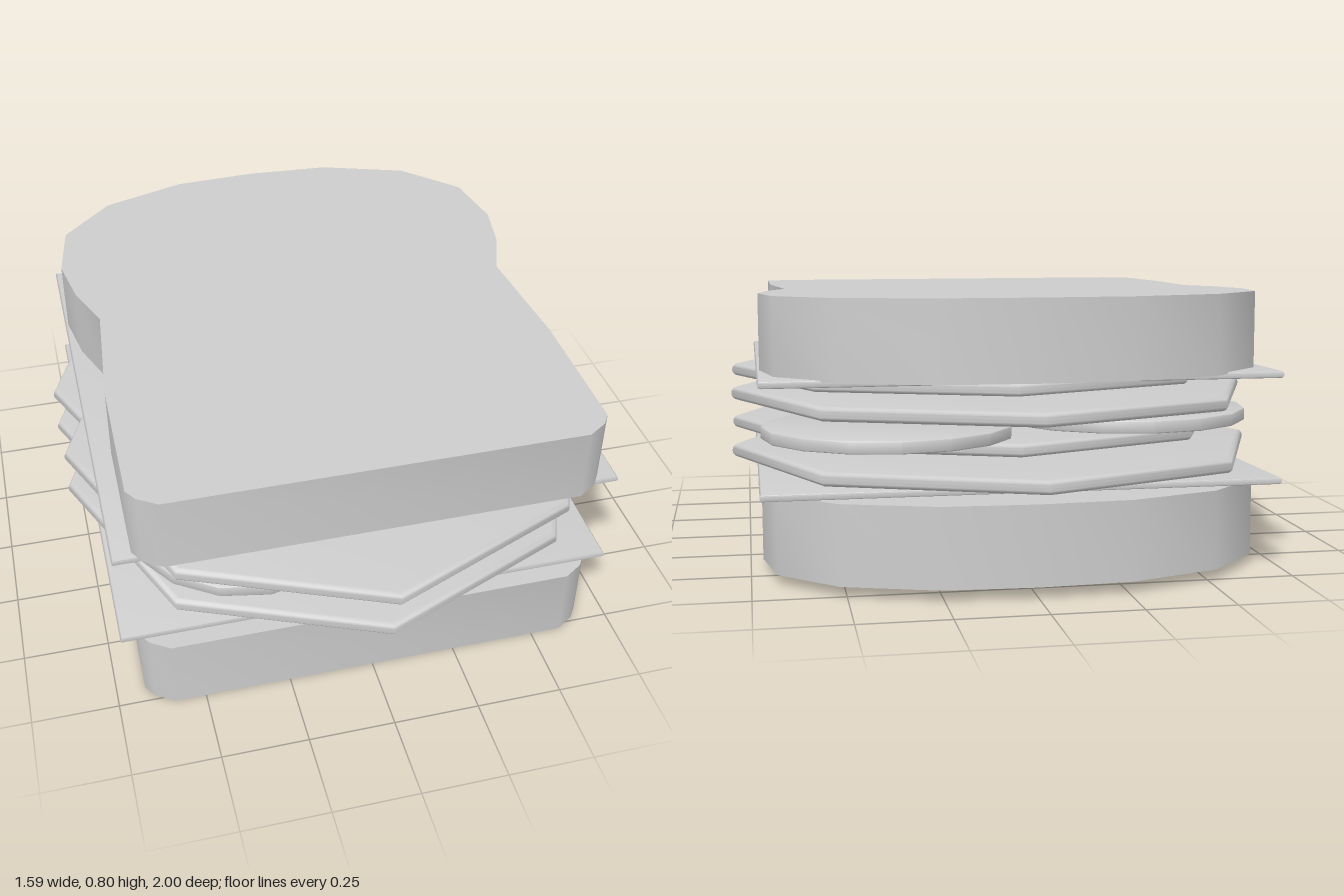
import * as THREE from 'three';
import { toCreasedNormals } from 'three/addons/utils/BufferGeometryUtils.js';

const TILT = 0.02; // the whole stack rises slightly towards the back

// Flat slab from an outline of [x, z] points, centred on y = 0, with an optional rounded rim
function slab(outline, thickness, rim = 0, crease = 1) {
  const shape = new THREE.Shape(outline.map(([x, z]) => new THREE.Vector2(x, -z)));
  const geometry = new THREE.ExtrudeGeometry(shape, {
    depth: thickness - 2 * rim,
    bevelEnabled: rim > 0,
    bevelThickness: rim,
    bevelSize: rim,
    bevelOffset: -rim,
    bevelSegments: 4,
  });
  geometry.translate(0, 0, rim - thickness / 2);
  geometry.rotateX(-Math.PI / 2);
  return toCreasedNormals(geometry, crease);
}

function regularOutline(sides, radius) {
  return Array.from({ length: sides }, (_, i) => {
    const a = (i / sides) * Math.PI * 2;
    return [Math.sin(a) * radius, Math.cos(a) * radius];
  });
}

export function createModel() {
  const model = new THREE.Group();
  model.name = 'sandwich';
  const stack = new THREE.Group();
  stack.name = 'stack';
  stack.rotation.x = TILT;
  model.add(stack);

  const material = new THREE.MeshStandardMaterial({ color: 0xcccccc });
  const place = (name, geometry, x, y, z) => {
    const mesh = new THREE.Mesh(geometry, material);
    mesh.name = name;
    mesh.position.set(x, y, z);
    stack.add(mesh);
  };

  // Bread: half an outline from front to back, mirrored
  const half = [
    [0.59, 0.77], [0.645, 0.735], [0.668, 0.7], [0.665, 0.28], [0.632, -0.09],
    [0.688, -0.24], [0.715, -0.4], [0.68, -0.6], [0.52, -0.76], [0.26, -0.848],
  ];
  const breadOutline = [...half, [0, -0.863], ...half.map(([x, z]) => [-x, z]).reverse()];
  const bread = slab(breadOutline, 0.223);
  place('bottomBread', bread, 0, 0.127, 0);
  place('topBread', bread, 0, 0.668, 0);

  // Cheese: thin square sheets against the bread
  const c = 0.724;
  const cheese = slab([[-c, c], [c, c], [c, -c], [-c, -c]], 0.02, 0.009);
  place('bottomCheese', cheese, 0, 0.252, 0);
  place('topCheese', cheese, 0, 0.552, 0);

  // Lettuce: overlapping eight-sided leaves with rounded rims
  const leaf = slab(regularOutline(8, 0.797), 0.04, 0.019);
  [[0.305, -0.202], [0.345, 0.155], [0.471, -0.155], [0.509, 0.202]].forEach(([y, z], i) =>
    place(`lettuceLeaf${i + 1}`, leaf, 0, y, z));

  // Tomato: four slices in two diagonal pairs, one pair above the other
  const tomato = slab(regularOutline(16, 0.365), 0.036, 0.004, 0.6);
  [[-0.3, 0.382, 0.39], [0.35, 0.382, -0.39], [0.31, 0.42, 0.4], [-0.34, 0.42, -0.4]]
    .forEach(([x, y, z], i) => place(`tomatoSlice${i + 1}`, tomato, x, y, z));

  return model;
}
